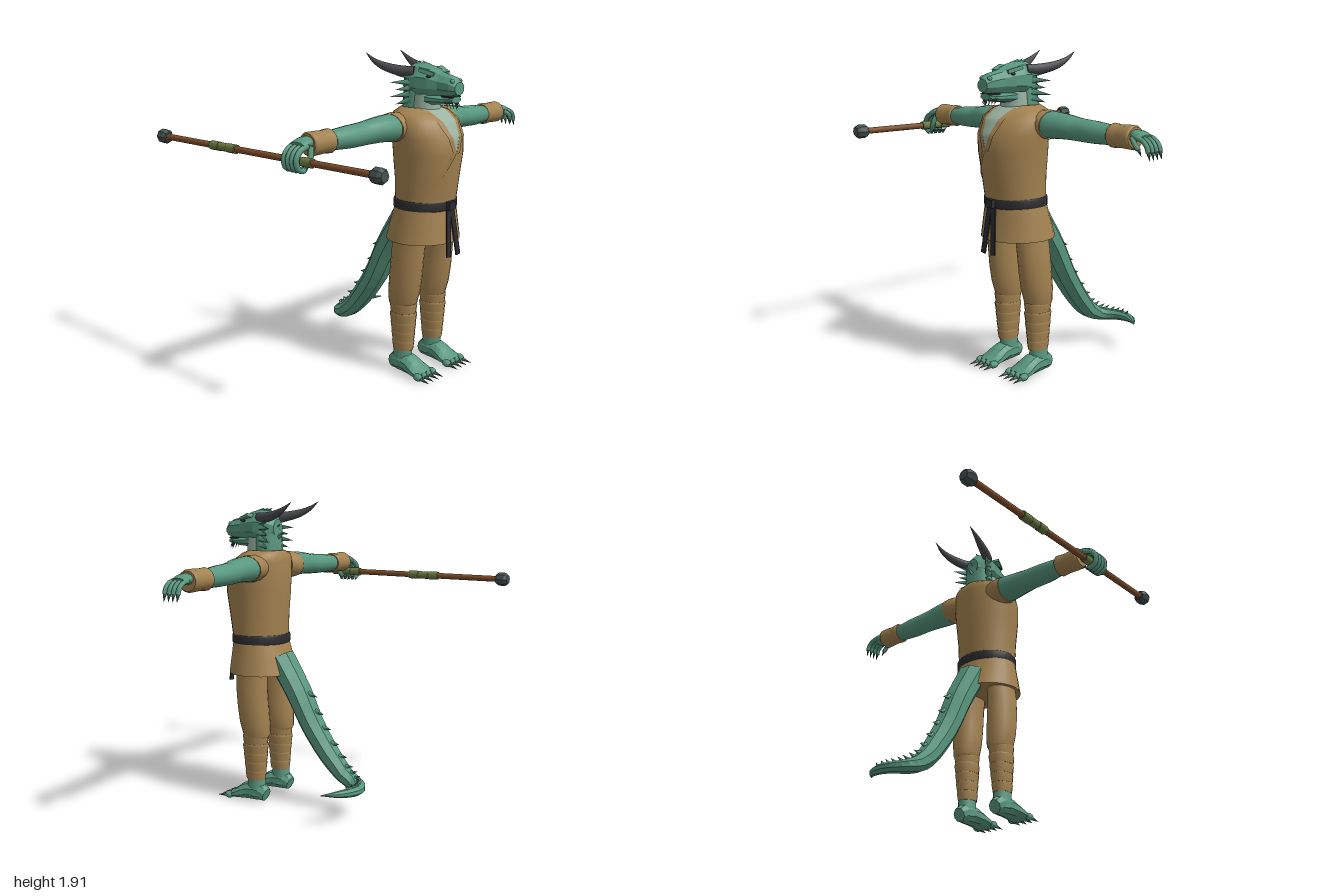
import * as THREE from 'three';

const V = (x, y, z) => new THREE.Vector3(x, y, z);
const material = (name, color) => {
  const m = new THREE.MeshStandardMaterial({ color });
  m.name = name;
  return m;
};

export function createModel() {
  const scale = material('teal scales', 0x58977f);
  const cloth = material('tan cloth', 0xa38250);
  const throat = material('pale throat', 0x9ab3a2);
  const black = material('black belt', 0x2c2c30);
  const horn = material('dark horn', 0x494a4d);
  const claw = material('claw', 0x48625a);
  const wood = material('brown wood', 0x7d4c2a);
  const wrap = material('green wrap', 0x6a7a43);
  const iron = material('staff iron', 0x44504f);
  const root = new THREE.Group();

  const add = (name, geo, mat, pos = [0, 0, 0]) => {
    const m = new THREE.Mesh(geo, mat);
    m.name = name;
    m.position.set(...pos);
    root.add(m);
    return m;
  };

  // Skin through rings [centre, u, v], capped at both ends
  const loft = (name, mat, rings, n, flat = false) => {
    const pos = [], idx = [];
    for (const [c, u, v] of rings) {
      for (let j = 0; j < n; j++) {
        const t = ((j + 0.5) / n) * Math.PI * 2;
        const p = c.clone().addScaledVector(u, Math.cos(t)).addScaledVector(v, Math.sin(t));
        pos.push(p.x, p.y, p.z);
      }
    }
    for (let i = 0; i < rings.length - 1; i++) {
      for (let j = 0; j < n; j++) {
        const k = (j + 1) % n, a = i * n, b = a + n;
        idx.push(a + j, a + k, b + k, a + j, b + k, b + j);
      }
    }
    for (const end of [0, rings.length - 1]) {
      const s = pos.length / 3, from = end * n * 3;
      pos.push(...pos.slice(from, from + n * 3), ...rings[end][0].toArray());
      for (let j = 0; j < n; j++) {
        const k = (j + 1) % n;
        if (end) idx.push(s + j, s + k, s + n);
        else idx.push(s + k, s + j, s + n);
      }
    }
    let geo = new THREE.BufferGeometry();
    geo.setAttribute('position', new THREE.Float32BufferAttribute(pos, 3));
    geo.setIndex(idx);
    if (flat) geo = geo.toNonIndexed();
    geo.computeVertexNormals();
    return add(name, geo, mat);
  };

  // Upright form from rows [y, x, z, rx, rz]
  const column = (name, mat, rows, n = 20, flat = false) =>
    loft(name, mat, rows.map(([y, x, z, rx, rz]) => [V(x, y, z), V(0, 0, rz), V(rx, 0, 0)]), n, flat);

  // Tapered sweep through points [x, y, z, side radius, upright radius]
  const sweep = (name, mat, pts, n, steps, flat = false) => {
    const path = new THREE.CatmullRomCurve3(pts.map(p => V(p[0], p[1], p[2])));
    const size = new THREE.CatmullRomCurve3(pts.map(p => V(p[3], p[4], 0)));
    const rings = [];
    for (let i = 0; i <= steps; i++) {
      const t = i / steps, T = path.getTangent(t), r = size.getPoint(t);
      const u = V(0, 1, 0).cross(T).normalize();
      rings.push([path.getPoint(t), u.clone().multiplyScalar(r.x), T.clone().cross(u).multiplyScalar(r.y)]);
    }
    return loft(name, mat, rings, n, flat);
  };

  // Cone from base to tip
  const spike = (name, mat, base, tip, r, n = 6) => {
    const d = tip.clone().sub(base);
    const geo = new THREE.ConeGeometry(r, d.length(), n);
    const m = add(name, geo, mat, base.clone().add(tip).multiplyScalar(0.5).toArray());
    m.quaternion.setFromUnitVectors(V(0, 1, 0), d.normalize());
    return m;
  };

  const tube = (name, mat, pts, r) =>
    add(name, new THREE.TubeGeometry(new THREE.CatmullRomCurve3(pts), 8, r, 7), mat);

  // Torso, skirt and belt
  const torso = [
    [1.03, 0, 0.4, 0.19, 0.17], [1.2, 0, 0.41, 0.195, 0.187], [1.35, 0, 0.415, 0.21, 0.203],
    [1.45, 0, 0.412, 0.222, 0.2], [1.54, 0, 0.39, 0.222, 0.175], [1.585, 0, 0.36, 0.19, 0.14],
    [1.61, 0, 0.35, 0.11, 0.11]];
  column('tunic', cloth, torso, 32);
  column('tunicSkirt', cloth, [[0.83, 0, 0.385, 0.23, 0.215], [0.93, 0, 0.392, 0.215, 0.193], [1.03, 0, 0.4, 0.197, 0.172]], 28);
  column('belt', black, [[1.02, 0, 0.4, 0.192, 0.174], [1.028, 0, 0.4, 0.2, 0.181], [1.07, 0, 0.4, 0.2, 0.181], [1.08, 0, 0.4, 0.192, 0.174]], 28);
  add('beltKnot', new THREE.BoxGeometry(0.055, 0.05, 0.03), black, [0, 1.05, 0.59]);
  for (const s of [1, -1]) {
    const end = add('beltEnd', new THREE.BoxGeometry(0.038, 0.28, 0.008), black, [s * 0.03, 0.89, 0.6]);
    end.rotation.set(-0.11, 0, s * 0.1);
  }

  // Thin plates that follow the front of the tunic, from [y, left, right] to [y, left, right]
  const front = (x, y) => {
    let i = 0;
    while (i < torso.length - 2 && torso[i + 1][0] < y) i++;
    const a = torso[i], b = torso[i + 1], t = (y - a[0]) / (b[0] - a[0]);
    const at = k => a[k] + (b[k] - a[k]) * t;
    return at(2) + at(4) * Math.sqrt(Math.max(0, 1 - (x / at(3)) ** 2));
  };
  const plate = (name, mat, lo, hi, lift) => {
    const geo = new THREE.PlaneGeometry(1, 1, 8, 16), p = geo.attributes.position;
    for (let i = 0; i < p.count; i++) {
      const a = p.getX(i) + 0.5, t = p.getY(i) + 0.5;
      const [y, l, r] = lo.map((q, k) => q + (hi[k] - q) * t);
      const x = l + (r - l) * a;
      p.setXYZ(i, x, y, front(x, y) + lift);
    }
    geo.computeVertexNormals();
    add(name, geo, mat);
  };
  plate('chest', throat, [1.36, -0.002, 0.002], [1.605, -0.09, 0.09], 0.005);
  plate('leftLapel', cloth, [1.36, 0, 0.03], [1.6, 0.075, 0.115], 0.009);
  plate('rightLapel', cloth, [1.36, -0.03, 0], [1.6, -0.115, -0.075], 0.009);
  plate('tunicOverlap', cloth, [1.09, -0.185, -0.165], [1.38, -0.02, 0.01], 0.006);

  // Neck and head
  column('throat', throat, [[1.5, 0, 0.4, 0.09, 0.09], [1.6, 0, 0.395, 0.092, 0.085], [1.69, 0, 0.4, 0.085, 0.08]], 14);
  column('nape', scale, [[1.55, 0, 0.34, 0.095, 0.085], [1.62, 0, 0.335, 0.1, 0.085], [1.74, 0, 0.34, 0.09, 0.08]], 12);
  const head = (name, rows) =>
    loft(name, scale, rows.map(([z, y, hx, hy]) => [V(0, y, z), V(hx, 0, 0), V(0, hy, 0)]), 10, true);
  head('skull', [[0.265, 1.745, 0.05, 0.06], [0.31, 1.75, 0.095, 0.105], [0.39, 1.755, 0.105, 0.105], [0.46, 1.752, 0.09, 0.095],
    [0.52, 1.745, 0.066, 0.072], [0.6, 1.738, 0.06, 0.06], [0.635, 1.73, 0.045, 0.038]]);
  head('lowerJaw', [[0.34, 1.675, 0.08, 0.045], [0.45, 1.662, 0.078, 0.038], [0.55, 1.66, 0.058, 0.026], [0.615, 1.665, 0.045, 0.018]]);
  add('mouthLine', new THREE.BoxGeometry(0.09, 0.009, 0.07), black, [0, 1.682, 0.578]);
  for (let i = 0; i < 7; i++) {
    const x = (i - 3) * 0.016, z = 0.6 - Math.abs(i - 3) * 0.008;
    spike('chinBarb', claw, V(x, 1.66, z), V(x * 1.2, 1.605 + Math.abs(i - 3) * 0.006, z + 0.022), 0.008, 5);
  }
  for (let i = 0; i < 6; i++) {
    const y = 1.85 - Math.max(0, i - 2) * 0.05, z = 0.42 - i * 0.03;
    spike('headCrest', scale, V(0, y - 0.01, z), V(0, y + 0.022, z - 0.055), 0.018, 4);
  }
  for (const s of [1, -1]) {
    sweep('horn', horn, [[s * 0.065, 1.815, 0.36, 0.03, 0.03], [s * 0.1, 1.815, 0.29, 0.031, 0.031], [s * 0.135, 1.838, 0.19, 0.024, 0.024],
      [s * 0.15, 1.868, 0.125, 0.014, 0.014], [s * 0.153, 1.91, 0.065, 0.001, 0.001]], 9, 12);
    const brow = add('brow', new THREE.BoxGeometry(0.05, 0.022, 0.09), scale, [s * 0.068, 1.815, 0.455]);
    brow.rotation.set(0.3, s * -0.35, s * 0.2);
    const eye = add('eye', new THREE.SphereGeometry(0.014, 8, 6), black, [s * 0.079, 1.793, 0.475]);
    eye.scale.set(0.8, 0.6, 1.2);
    add('nostril', new THREE.SphereGeometry(0.014, 8, 6), scale, [s * 0.035, 1.77, 0.61]);
    // Cheek frill, from temple to jaw
    for (let i = 0; i < 6; i++) {
      const y = 1.82 - i * 0.034, out = 0.138 - (i % 2) * 0.018;
      spike('cheekFin', scale, V(s * 0.08, y, 0.34), V(s * out, y + 0.012 - i * 0.008, 0.235 + (i % 2) * 0.03), 0.024, 4);
    }
  }

  for (const s of [1, -1]) {
    // Arms and cuffs
    sweep('armhole', cloth, [[s * 0.14, 1.51, 0.335, 0.09, 0.075], [s * 0.21, 1.507, 0.33, 0.106, 0.085], [s * 0.243, 1.505, 0.33, 0.104, 0.083]], 16, 4);
    sweep('arm', scale, [[s * 0.18, 1.505, 0.33, 0.09, 0.075], [s * 0.25, 1.507, 0.33, 0.099, 0.079], [s * 0.35, 1.505, 0.325, 0.088, 0.073],
      [s * 0.45, 1.495, 0.31, 0.075, 0.066], [s * 0.56, 1.49, 0.305, 0.075, 0.064], [s * 0.7, 1.485, 0.295, 0.058, 0.054], [s * 0.85, 1.485, 0.293, 0.043, 0.04]], 14, 18);
    sweep('cuff', cloth, [[s * 0.688, 1.485, 0.293, 0.062, 0.06], [s * 0.7, 1.485, 0.293, 0.07, 0.068], [s * 0.75, 1.485, 0.293, 0.066, 0.063],
      [s * 0.8, 1.485, 0.293, 0.069, 0.066], [s * 0.84, 1.485, 0.293, 0.07, 0.067], [s * 0.853, 1.485, 0.293, 0.06, 0.058]], 14, 15);
    sweep('palm', scale, [[s * 0.83, 1.495, 0.293, 0.035, 0.033], [s * 0.88, 1.5, 0.295, 0.055, 0.03], [s * 0.93, 1.488, 0.295, 0.058, 0.022]], 10, 5);

    // Legs, bandaged shins and feet
    column('trouserLeg', cloth, [[0.425, s * 0.137, 0.345, 0.066, 0.078], [0.44, s * 0.137, 0.347, 0.078, 0.09], [0.52, s * 0.138, 0.358, 0.087, 0.102],
      [0.62, s * 0.138, 0.37, 0.088, 0.106], [0.75, s * 0.136, 0.382, 0.082, 0.109], [0.92, s * 0.12, 0.39, 0.078, 0.11]], 16);
    for (let i = 0; i < 5; i++) {
      const y = 0.145 + i * 0.059, r = 0.053 + Math.min(i, 3) * 0.005;
      const x = s * 0.139, z = 0.354;
      column('shinWrap', cloth, [[y, x, z, r, r + 0.013], [y + 0.05, x, z, r + 0.007, r + 0.02], [y + 0.062, x, z, r + 0.002, r + 0.015]], 14);
    }
    column('ankle', scale, [[0.04, s * 0.14, 0.345, 0.06, 0.068], [0.16, s * 0.14, 0.353, 0.05, 0.06]], 10);
    sweep('foot', scale, [[s * 0.14, 0.045, 0.275, 0.042, 0.043], [s * 0.14, 0.064, 0.33, 0.058, 0.064], [s * 0.14, 0.058, 0.41, 0.066, 0.058],
      [s * 0.14, 0.035, 0.48, 0.08, 0.035], [s * 0.14, 0.022, 0.53, 0.076, 0.022]], 10, 10, true);
    for (let i = 0; i < 4; i++) {
      const x = s * (0.14 + (i - 1.5) * 0.043);
      add('toe', new THREE.SphereGeometry(0.023, 8, 6), scale, [x, 0.023, 0.525]).scale.z = 1.4;
      spike('toeClaw', claw, V(x, 0.02, 0.535), V(x + s * (i - 1.5) * 0.003, 0.008, 0.615), 0.015);
    }
  }

  // Open left hand, and right hand closed on the staff
  for (let i = 0; i < 4; i++) {
    const z = 0.249 + i * 0.031;
    tube('leftFinger', scale, [V(0.9, 1.493, z), V(0.945, 1.482, z), V(0.975, 1.455, z), V(0.986, 1.425, z)], 0.0145);
    spike('leftClaw', claw, V(0.985, 1.428, z), V(0.996, 1.38, z), 0.013);
    tube('rightFinger', scale, [V(-0.9, 1.488, z), V(-0.95, 1.47, z), V(-0.982, 1.425, z), V(-0.965, 1.37, z), V(-0.925, 1.362, z)], 0.0165);
    spike('rightClaw', claw, V(-0.925, 1.362, z), V(-0.885, 1.385, z), 0.013);
  }
  tube('leftThumb', scale, [V(0.87, 1.49, 0.34), V(0.905, 1.465, 0.36), V(0.93, 1.435, 0.355)], 0.015);
  spike('leftThumbClaw', claw, V(0.928, 1.437, 0.355), V(0.945, 1.4, 0.35), 0.012);
  tube('rightThumb', scale, [V(-0.87, 1.48, 0.335), V(-0.89, 1.42, 0.35), V(-0.92, 1.375, 0.335)], 0.017);

  // Tail with a row of spines
  const tail = [[0, 0.93, 0.25, 0.105, 0.085], [0, 0.72, 0.115, 0.1, 0.08], [0, 0.52, 0.01, 0.09, 0.073], [-0.004, 0.34, -0.115, 0.078, 0.066],
    [-0.006, 0.225, -0.225, 0.067, 0.055], [0.01, 0.183, -0.315, 0.055, 0.042], [0.08, 0.18, -0.365, 0.045, 0.033], [0.16, 0.187, -0.372, 0.037, 0.03],
    [0.26, 0.195, -0.343, 0.026, 0.022], [0.355, 0.2, -0.268, 0.002, 0.002]];
  sweep('tail', scale, tail, 8, 27, true);
  const spine = new THREE.CatmullRomCurve3(tail.map(p => V(p[0], p[1], p[2])));
  const girth = new THREE.CatmullRomCurve3(tail.map(p => V(p[3], p[4], 0)));
  for (let i = 0; i < 13; i++) {
    const t = 0.13 + i * 0.058, T = spine.getTangent(t), r = girth.getPoint(t).y;
    const up = T.clone().cross(V(0, 1, 0).cross(T).normalize());
    const base = spine.getPoint(t).addScaledVector(up, r * 0.85), size = 0.3 + r * 9;
    const tip = base.clone().addScaledVector(up, 0.048 * size).addScaledVector(T, 0.045 * size);
    spike('tailSpine', scale, base, tip, 0.02 * size, 5);
  }

  // Staff
  const rod = (name, mat, r, len, z, n) =>
    add(name, new THREE.CylinderGeometry(r, r, len, n).rotateX(Math.PI / 2), mat, [-0.93, 1.41, z]);
  rod('staffShaft', wood, 0.019, 1.72, 0, 12);
  for (const s of [1, -1]) {
    for (let i = 0; i < 3; i++) rod('staffWrap', wrap, 0.027 - (i % 2) * 0.002, 0.07, s * (0.23 + i * 0.073), 8);
    const profile = [[0, -0.04], [0.03, -0.04], [0.043, -0.022], [0.043, 0.022], [0.03, 0.04], [0, 0.04]];
    let cap = new THREE.LatheGeometry(profile.map(p => new THREE.Vector2(...p)), 8).toNonIndexed();
    cap.computeVertexNormals();
    add('staffCap', cap.rotateX(Math.PI / 2), iron, [-0.93, 1.41, s * 0.865]);
  }
  return root;
}
